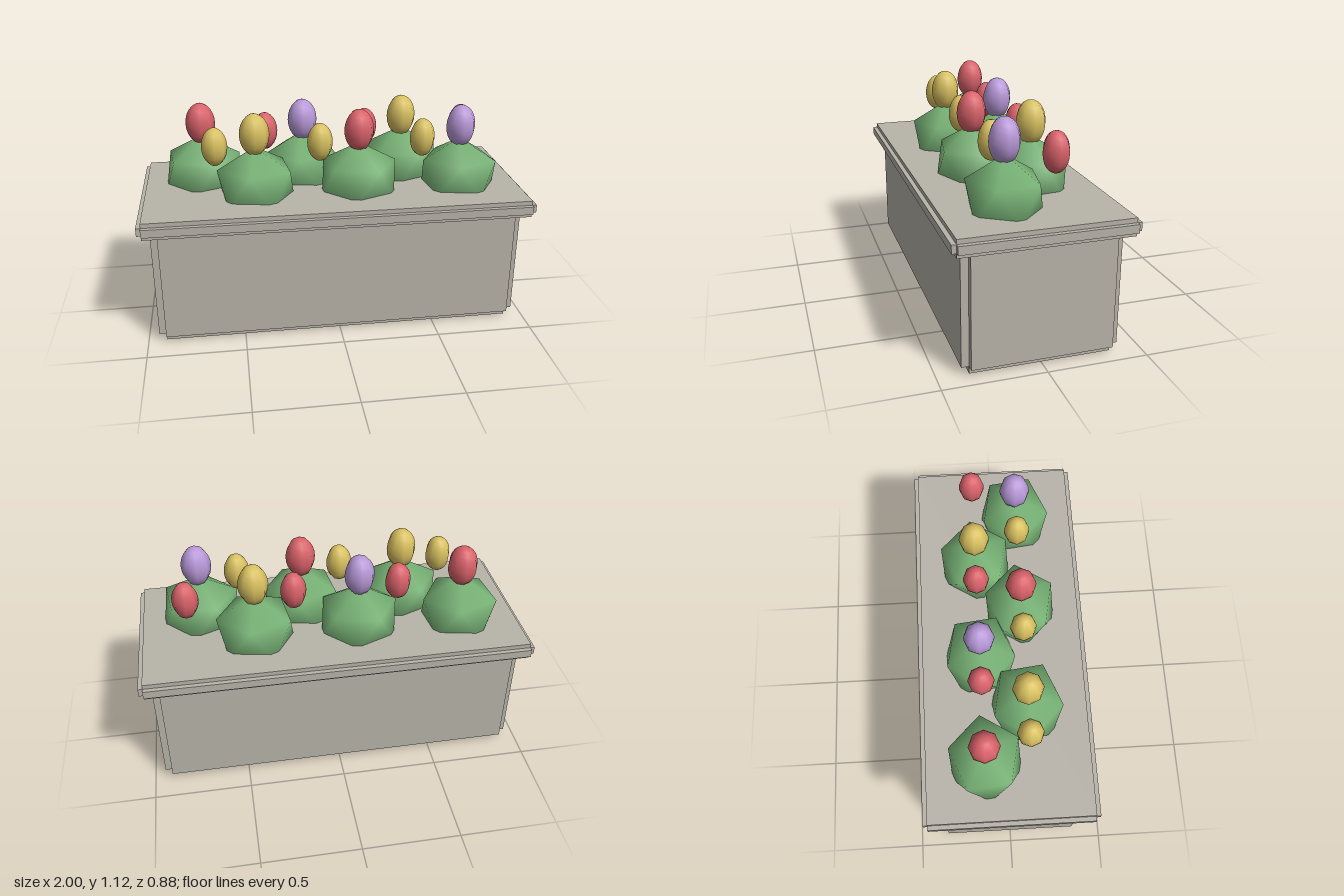
import * as THREE from 'three';
import { mergeVertices } from 'three/addons/utils/BufferGeometryUtils.js';

const material = (name, color) => {
  const m = new THREE.MeshStandardMaterial({ color });
  m.name = name;
  return m;
};

// Icosahedron standing on a corner, with smooth normals
function bushGeometry() {
  let g = new THREE.IcosahedronGeometry(1, 0);
  g.deleteAttribute('normal');
  g.deleteAttribute('uv');
  g = mergeVertices(g, 1e-4);
  g.rotateZ(-Math.atan(2 / (1 + Math.sqrt(5))));
  g.computeVertexNormals();
  return g;
}

export function createModel() {
  const model = new THREE.Group();
  model.name = 'flowerPlanter';
  const stone = material('stone', 0xb8b4aa);
  const leaf = material('leafGreen', 0x7ab678);
  const red = material('flowerRed', 0xd9626a);
  const yellow = material('flowerYellow', 0xd8c060);
  const purple = material('flowerPurple', 0xb898d8);

  const add = (parent, name, geometry, mat, x, y, z) => {
    const mesh = new THREE.Mesh(geometry, mat);
    mesh.name = name;
    mesh.position.set(x, y, z);
    parent.add(mesh);
    return mesh;
  };

  // Block with stepped edges: three crossed boxes, each full length on one axis
  const steppedBlock = (name, w, h, d, y, step) => {
    const group = new THREE.Group();
    group.name = name;
    const s = 2 * step;
    [[w, h - s, d - s], [w - s, h, d - s], [w - s, h - s, d]].forEach((size, i) =>
      add(group, name + ['Sides', 'Core', 'FrontBack'][i], new THREE.BoxGeometry(...size), stone, 0, y, 0));
    model.add(group);
  };
  steppedBlock('planterBody', 1.888, 0.64, 0.768, 0.32, 0.037);
  steppedBlock('planterRim', 2, 0.088, 0.88, 0.654, 0.023);

  // Two staggered rows of bushes, each with a tall and a short bloom
  const bush = bushGeometry();
  const bloom = new THREE.SphereGeometry(1, 8, 12);
  const rows = [
    { z: -0.115, start: -0.675, small: red, side: 0.337, tall: [red, purple, yellow] },
    { z: 0.108, start: -0.405, small: yellow, side: -0.203, tall: [yellow, red, purple] },
  ];
  rows.forEach((row, r) => row.tall.forEach((mat, i) => {
    const x = row.start + i * 0.537;
    const shrub = add(model, 'bush', bush, leaf, x, 0.75, row.z);
    // Spin about the upright axis first, then stretch sideways
    shrub.geometry = bush.clone().rotateY((r * 3 + i) * 0.63 + 0.1).scale(0.222, 0.2, 0.203);
    shrub.geometry.computeVertexNormals();
    add(model, 'tallBloom', bloom, mat, x, 1.015, row.z).scale.set(0.077, 0.11, 0.077);
    add(model, 'shortBloom', bloom, row.small, x + row.side, 0.96, row.z).scale.set(0.066, 0.1, 0.066);
  }));

  return model;
}
